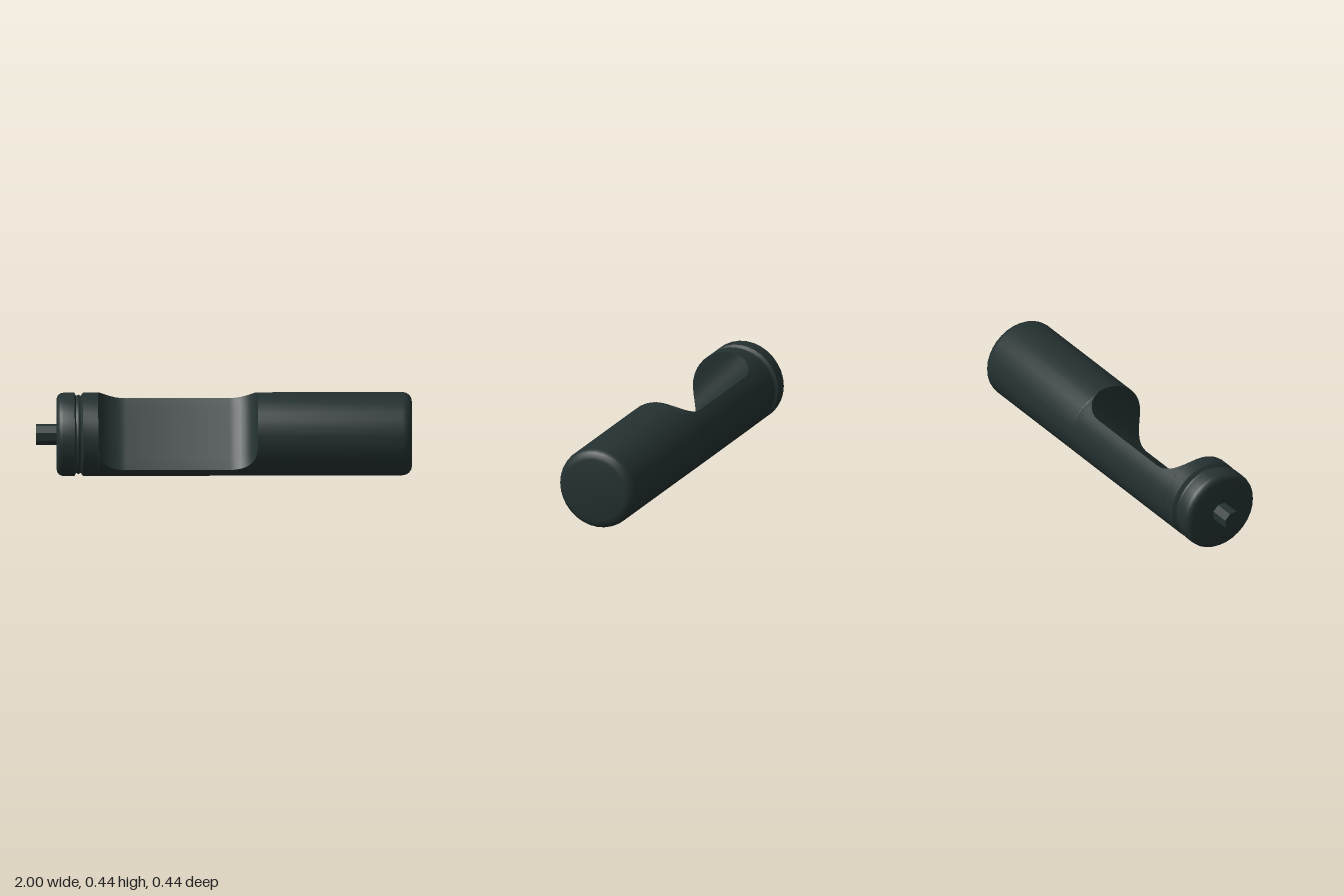
import * as THREE from 'three';
import { toCreasedNormals } from 'three/addons/utils/BufferGeometryUtils.js';

const R = 0.222, ARC = 32, CHORD = 6;

// One cross-section: a circle of radius r with everything above height h sliced off.
// The slice faces up and forward at 45 degrees.
function section(x, r, h) {
  const a0 = h >= r ? 0 : Math.acos(h / r);
  const pts = [];
  const add = (n, t) => pts.push(new THREE.Vector3(x, R + (n + t) * Math.SQRT1_2, (n - t) * Math.SQRT1_2));
  for (let j = 0; j <= ARC; j++) {
    const a = a0 + (j / ARC) * 2 * (Math.PI - a0);
    add(r * Math.cos(a), r * Math.sin(a));
  }
  const half = r * Math.sin(a0);
  for (let j = 1; j <= CHORD; j++) add(r * Math.cos(a0), half * (2 * j / CHORD - 1));
  return pts;
}

// Skin a list of sections, skipping collapsed triangles.
function loft(sections) {
  const out = [];
  const tri = new THREE.Triangle();
  const face = (a, b, c) => {
    tri.set(a, b, c);
    if (tri.getArea() > 1e-8) out.push(...a.toArray(), ...b.toArray(), ...c.toArray());
  };
  for (let i = 0; i < sections.length - 1; i++) {
    const p = sections[i], q = sections[i + 1];
    for (let j = 0; j < p.length - 1; j++) {
      face(p[j], q[j], p[j + 1]);
      face(q[j], q[j + 1], p[j + 1]);
    }
  }
  const g = new THREE.BufferGeometry();
  g.setAttribute('position', new THREE.Float32BufferAttribute(out, 3));
  return toCreasedNormals(g, 0.6);
}

export function createModel() {
  const group = new THREE.Group();
  const darkMetal = new THREE.MeshStandardMaterial({ color: 0x243030 });

  const s = [];
  const plain = (x, r = R) => s.push(section(x, r, R));

  // Rounded left end
  plain(-0.89, 0);
  for (let k = 0; k <= 4; k++) {
    const a = (k / 4) * Math.PI / 2, c = 0.035;
    plain(-0.89 + c * (1 - Math.cos(a)), R - c + c * Math.sin(a));
  }
  // Groove around the collar
  [[-0.795, R], [-0.787, 0.205], [-0.775, 0.212], [-0.763, 0.205], [-0.75, R]].forEach(([x, r]) => plain(x, r));

  // Half-depth cutout with filleted end walls
  const fillet = 0.15, wall = [R, 0.212, 0.195, 0.172];
  const left = wall.map(h => [-0.67, h]);
  for (let k = 0; k <= 8; k++) {
    const a = (k / 8) * Math.PI / 2;
    left.push([-0.67 + fillet * (1 - Math.cos(a)), fillet * (1 - Math.sin(a))]);
  }
  const right = left.map(([x, h]) => [0.18 - (x + 0.67), h]).reverse();
  [...left, ...right].forEach(([x, h]) => s.push(section(x, R, h)));

  // Rounded right end
  for (let k = 0; k <= 4; k++) {
    const a = (k / 4) * Math.PI / 2, c = 0.05;
    plain(1 - c * (1 - Math.sin(a)), R - c + c * Math.cos(a));
  }
  plain(1, 0);

  const body = new THREE.Mesh(loft(s), darkMetal);
  body.name = 'body';
  group.add(body);

  // Faceted peg on the left end
  const pegGeo = new THREE.CylinderGeometry(0.056, 0.056, 0.13, 8);
  pegGeo.rotateY(Math.PI / 8);
  pegGeo.rotateZ(Math.PI / 2);
  const peg = new THREE.Mesh(toCreasedNormals(pegGeo, 0.4), darkMetal);
  peg.name = 'endPeg';
  peg.position.set(-0.935, R, 0);
  group.add(peg);

  return group;
}
